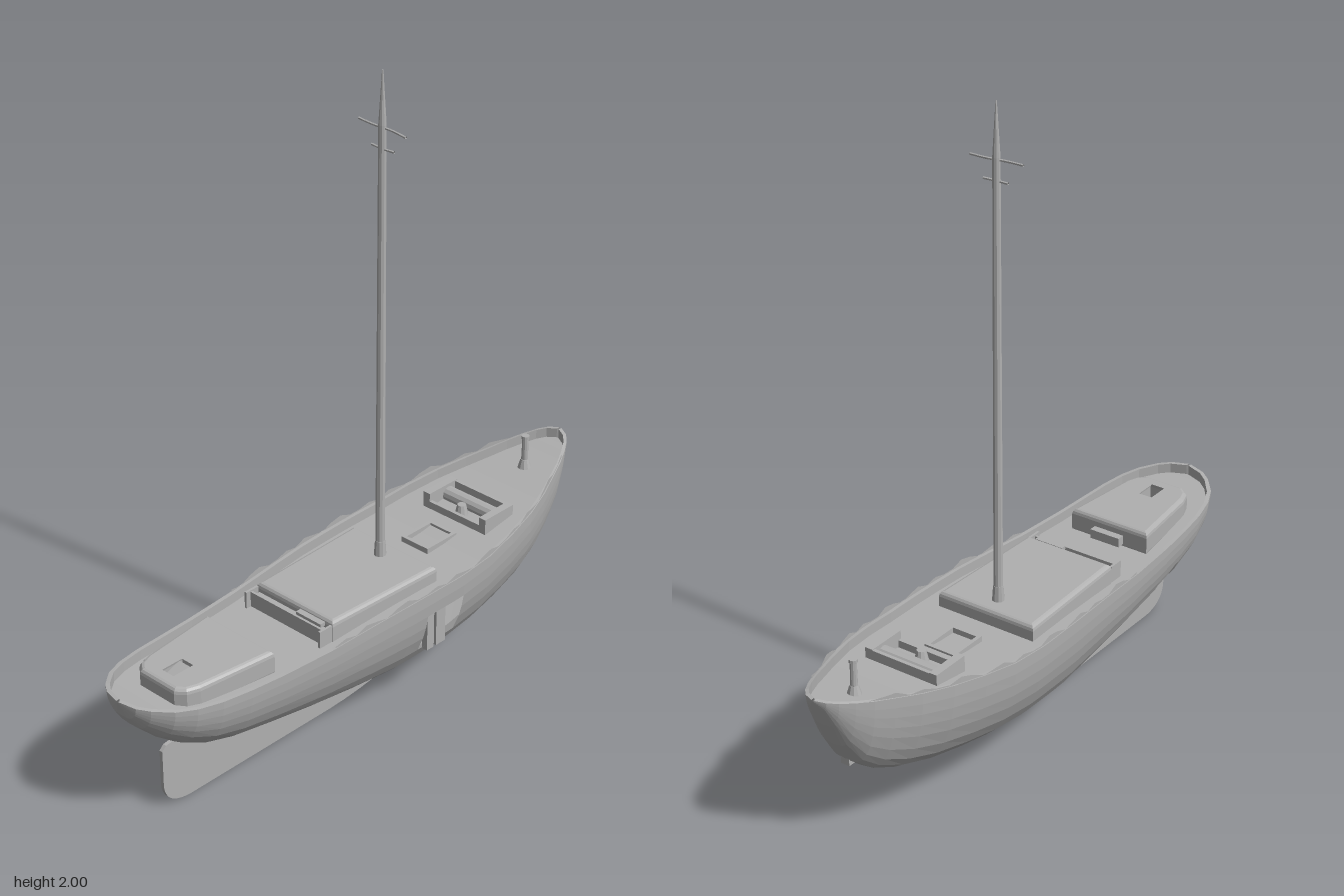
import * as THREE from 'three';

const grey = new THREE.MeshStandardMaterial({ color: 0xb0b0b0, flatShading: true, side: THREE.DoubleSide });
grey.name = 'weathered grey';

// Hull stations from stern to bow: z, half beam, sheer height, bottom height
const stations = [
  [0.95, 0.004, 0.45, 0.445], [0.935, 0.06, 0.446, 0.395], [0.91, 0.095, 0.442, 0.355],
  [0.86, 0.138, 0.434, 0.305], [0.8, 0.165, 0.427, 0.26], [0.72, 0.183, 0.42, 0.218],
  [0.62, 0.194, 0.414, 0.188], [0.5, 0.204, 0.41, 0.167], [0.32, 0.217, 0.411, 0.138],
  [0.15, 0.228, 0.421, 0.115], [0, 0.238, 0.428, 0.1], [-0.065, 0.24, 0.429, 0.1],
  [-0.1, 0.241, 0.43, 0.101], [-0.18, 0.243, 0.431, 0.104], [-0.22, 0.243, 0.432, 0.106],
  [-0.34, 0.237, 0.438, 0.12], [-0.46, 0.222, 0.455, 0.14], [-0.58, 0.198, 0.472, 0.163],
  [-0.68, 0.166, 0.487, 0.192], [-0.76, 0.134, 0.502, 0.23], [-0.82, 0.11, 0.514, 0.28],
  [-0.87, 0.085, 0.525, 0.36], [-0.91, 0.06, 0.535, 0.445], [-0.935, 0.036, 0.541, 0.505],
  [-0.95, 0.004, 0.545, 0.54],
];
const levels = [0, 0.12, 0.24, 0.37, 0.5, 0.66, 0.8, 0.9, 0.97, 1];

// Reads column k of the stations at any z
function at(z, k) {
  let i = 1;
  while (i < stations.length - 1 && stations[i][0] > z) i++;
  const a = stations[i - 1], b = stations[i];
  return THREE.MathUtils.lerp(a[k], b[k], (z - a[0]) / (b[0] - a[0]));
}
const deckY = z => at(z, 2) - 0.032;

// Skins rows of points with quads; skip(i, j) leaves a hole
function skin(rows, skip = () => false) {
  const n = rows[0].length, index = [];
  for (let i = 0; i < rows.length - 1; i++) {
    for (let j = 0; j < n - 1; j++) {
      if (skip(i, j)) continue;
      const a = i * n + j, b = a + n;
      index.push(a, a + 1, b, b, a + 1, b + 1);
    }
  }
  const g = new THREE.BufferGeometry();
  g.setAttribute('position', new THREE.Float32BufferAttribute(rows.flat(2), 3));
  g.setIndex(index);
  g.computeVertexNormals();
  return g;
}

export function createModel() {
  const model = new THREE.Group();
  const add = (name, geometry, x = 0, y = 0, z = 0) => {
    const mesh = new THREE.Mesh(geometry, grey);
    mesh.name = name;
    mesh.position.set(x, y, z);
    model.add(mesh);
    return mesh;
  };
  const box = (name, w, h, d, x, y, z) => add(name, new THREE.BoxGeometry(w, h, d), x, y, z);
  const rod = (name, r1, r2, h, x, y, z) => add(name, new THREE.CylinderGeometry(r1, r2, h, 10), x, y + h / 2, z);

  // Hull with broken planking on both sides
  const hullRows = stations.map(([z, b, top, low]) => {
    const half = levels.map(s => [b * Math.pow(Math.max(0, 1 - s * s), 0.375), top - (top - low) * s, z]);
    return [...half.map(([x, y, w]) => [-x, y, w]), ...half.slice(0, -1).reverse()];
  });
  const last = 2 * (levels.length - 1) - 1;
  add('hull', skin(hullRows, (i, j) => {
    const z = stations[i][0], s = last - j;
    const rightHole = z <= -0.064 && z >= -0.181 && s >= 2 && s <= 4;
    const leftHole = z === 0.62 && (j === 4 || j === 5);
    return rightHole || leftHole;
  }));

  // Exposed frames inside the broken planking
  for (const [z, w] of [[-0.11, 0.03], [-0.155, 0.04]]) box('exposedFrame', 0.02, 0.17, w, 0.195, 0.285, z);

  // Rail, inner bulwark and deck
  const inner = stations.map(([z, b, top]) => [b * 0.94, top, z * 0.987]);
  for (const side of [-1, 1]) {
    add('bulwark', skin(stations.map(([z, b, top], i) => {
      const [x, y, w] = inner[i];
      return [[side * b, top, z], [side * x, y, w], [side * x, y - 0.032, w]];
    })));
  }
  add('deck', skin(inner.map(([x, y, z]) => [[-x, y - 0.032, z], [x, y - 0.032, z]])));

  // Splintered planks standing above the rail
  const splinters = [0.004, 0.012, 0.002, 0.016, 0.008, 0.0, 0.014, 0.02, 0.004];
  for (const side of [-1, 1]) {
    const rows = [];
    for (let i = 0; i <= 28; i++) {
      const z = 0.31 - i * 0.041;
      const x = side * (at(z, 1) - 0.003), y = at(z, 2);
      rows.push([[x, y - 0.005, z], [x, y + splinters[(i + (side > 0 ? 0 : 4)) % 9], z]]);
    }
    add('splinteredRail', skin(rows));
  }

  // Keel fin
  const fin = new THREE.Shape();
  fin.moveTo(0.8, 0.2);
  fin.lineTo(0.8, 0.08);
  fin.quadraticCurveTo(0.795, 0.005, 0.7, 0);
  fin.lineTo(0.12, 0);
  fin.quadraticCurveTo(-0.2, 0.005, -0.56, 0.162);
  fin.lineTo(-0.2, 0.13);
  fin.lineTo(0.2, 0.14);
  fin.lineTo(0.6, 0.2);
  fin.lineTo(0.7, 0.225);
  fin.lineTo(0.785, 0.215);
  const keel = add('keel', new THREE.ExtrudeGeometry(fin, { depth: 0.012, bevelEnabled: false, curveSegments: 10 }), 0.006);
  keel.rotation.y = -Math.PI / 2;

  // Cabin trunks: plan outline (x, z) extruded upwards with rounded top edges
  const trunk = (name, half, hole, top) => {
    const outline = [...half, ...half.map(([x, z]) => [-x, z]).reverse()];
    const shape = new THREE.Shape(outline.map(([x, z]) => new THREE.Vector2(x, -z)));
    if (hole) shape.holes.push(new THREE.Path(hole.map(([x, z]) => new THREE.Vector2(x, -z))));
    const g = new THREE.ExtrudeGeometry(shape, {
      depth: 0.05, bevelThickness: 0.018, bevelSize: 0.014, bevelOffset: -0.014, bevelSegments: 3,
    });
    g.rotateX(-Math.PI / 2);
    add(name, g, 0, top - 0.068, 0);
  };
  trunk('mainCabin', [[0.172, -0.17], [0.156, 0.262]], null, 0.45);
  trunk('aftCabin', [[0.14, 0.48], [0.112, 0.74], [0.098, 0.78], [0.07, 0.803]],
    [[-0.037, 0.672], [0.037, 0.672], [0.037, 0.775], [-0.037, 0.775]], 0.45);
  box('aftCabinStep', 0.106, 0.03, 0.035, 0, 0.4, 0.472);
  box('aftHatchSlide', 0.074, 0.012, 0.06, 0, 0.42, 0.71).rotation.x = 0.35;

  // Broken bench behind the main cabin
  box('benchSeat', 0.29, 0.03, 0.035, 0, 0.405, 0.275);
  box('benchBack', 0.3, 0.05, 0.008, 0, 0.41, 0.292);
  box('benchRail', 0.1, 0.012, 0.02, 0.08, 0.436, 0.275);
  for (const x of [-0.152, 0.152]) box('benchEnd', 0.008, 0.055, 0.05, x, 0.412, 0.288);

  // Deck hatch coaming and lid
  const hatchY = deckY(-0.325) + 0.004;
  for (const s of [-1, 1]) {
    box('hatchSide', 0.012, 0.022, 0.132, s * 0.048, hatchY, -0.325);
    box('hatchEnd', 0.108, 0.022, 0.012, 0, hatchY, -0.325 + s * 0.06);
  }

  // Forward companion: open housing around a winch
  const foreY = deckY(-0.5);
  for (const s of [-1, 1]) box('companionSide', 0.026, 0.06, 0.13, s * 0.115, foreY + 0.015, -0.505);
  box('companionBack', 0.21, 0.055, 0.012, 0, foreY + 0.015, -0.564);
  box('companionSill', 0.21, 0.025, 0.012, 0, foreY + 0.005, -0.446);
  const drum = add('winchDrum', new THREE.CylinderGeometry(0.025, 0.025, 0.2, 12), 0, foreY + 0.012, -0.525);
  drum.rotation.z = Math.PI / 2;
  rod('winchPost', 0.014, 0.022, 0.035, 0, foreY, -0.475);

  // Bow post and stem fitting
  rod('bowPostFoot', 0.013, 0.022, 0.03, 0, deckY(-0.775), -0.775);
  rod('bowPost', 0.01, 0.012, 0.115, 0, 0.468, -0.775);
  rod('bowPostCap', 0.013, 0.013, 0.01, 0, 0.577, -0.775);
  box('stemFitting', 0.03, 0.03, 0.03, 0, 0.282, -0.81);

  // Mast with pointed head and spreaders
  rod('mastFoot', 0.016, 0.02, 0.06, 0, 0.44, -0.105);
  rod('mast', 0.012, 0.015, 1.42, 0, 0.42, -0.105);
  rod('mastHead', 0.002, 0.012, 0.16, 0, 1.84, -0.105);
  for (const [y, points] of [
    [1.83, [[-0.09, 0.005, 0], [-0.03, 0.003, 0.003], [0.03, 0.001, -0.002], [0.092, -0.002, 0.004]]],
    [1.77, [[-0.04, 0.001, 0], [0, 0, 0.002], [0.045, 0, 0]]],
  ]) {
    const path = new THREE.CatmullRomCurve3(points.map(p => new THREE.Vector3(...p)));
    add('spreader', new THREE.TubeGeometry(path, 8, 0.004, 6), 0, y, -0.105);
  }
  return model;
}
